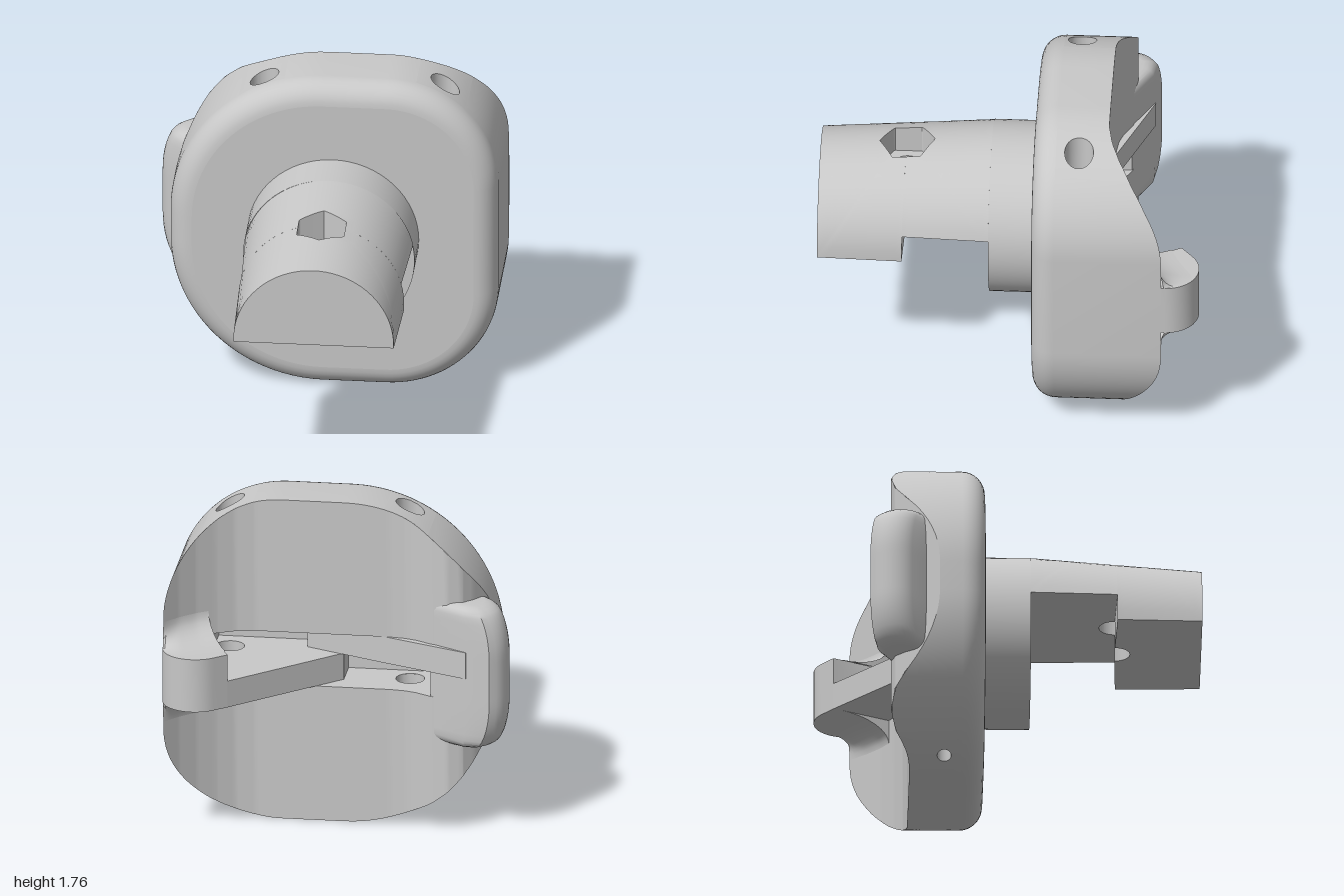
import * as THREE from 'three';
import { toCreasedNormals } from 'three/addons/utils/BufferGeometryUtils.js';

const V = (x, y, z) => new THREE.Vector3(x, y, z);
const lerp = THREE.MathUtils.lerp;
const clamp = THREE.MathUtils.clamp;
const MID = 0.88;                       // mid height of the body
const SLOT = [0.74, 1.03];              // slot floor and ceiling
const SLOT_X = [-0.7, 0.68], SLOT_D = 0.22;
const PINS = [[-0.34, 0.34], [0.6, 0.37]]; // pin holes: x, depth (-z)
const BORE = 0.075, SMALL_BORE = 0.037;

// depth of the back surface (-z) along x
const BACK = [[-0.82, 0.37], [-0.76, 0.46], [-0.7, 0.55], [-0.65, 0.6], [-0.57, 0.62], [-0.48, 0.595],
  [-0.4, 0.55], [-0.34, 0.53], [-0.26, 0.52], [0.45, 0.52], [0.55, 0.54], [0.64, 0.583], [0.74, 0.65],
  [0.82, 0.725], [0.89, 0.81]];
function depth(x) {
  for (let i = 1; i < BACK.length; i++) {
    const [a, p] = BACK[i - 1], [b, q] = BACK[i];
    if (x <= b) return lerp(p, q, Math.max(0, (x - a) / (b - a)));
  }
  return 0.81;
}

// half height of the body along x
function half(x) {
  if (x > 0.31) return 0.3 + Math.sqrt(Math.max(0, 0.58 ** 2 - (x - 0.31) ** 2));
  if (x < -0.02) return 0.08 + Math.sqrt(Math.max(0, 0.8 ** 2 - (x + 0.02) ** 2));
  return 0.88;
}

// front outline, counter-clockwise, moved inwards by inset
function outline(inset) {
  const pts = [];
  [[0.31, 0.58, 0.58], [0.31, 1.18, 0.58], [-0.02, 0.96, 0.8], [-0.02, 0.8, 0.8]].forEach(([x, y, r], k) => {
    for (let i = 0; i <= 24; i++) {
      const a = (k - 1 + i / 24) * Math.PI / 2;
      pts.push(new THREE.Vector2(x + (r - inset) * Math.cos(a), y + (r - inset) * Math.sin(a)));
    }
  });
  return pts;
}

function quadGeometry(quads, crease = 0.6) {
  const pos = [];
  for (const [a, b, c, d] of quads) for (const p of [a, b, c, a, c, d]) pos.push(p.x, p.y, p.z);
  const g = new THREE.BufferGeometry();
  g.setAttribute('position', new THREE.Float32BufferAttribute(pos, 3));
  return toCreasedNormals(g, crease);
}

// quads between successive rows of points
function loftQuads(rows, closed) {
  const quads = [];
  for (let j = 0; j + 1 < rows.length; j++) {
    const n = rows[j].length;
    for (let i = 0; i < (closed ? n : n - 1); i++) {
      const k = (i + 1) % n;
      quads.push([rows[j][i], rows[j][k], rows[j + 1][k], rows[j + 1][i]]);
    }
  }
  return quads;
}

function planShape(pts, holes = []) {
  const s = new THREE.Shape(pts.map(([x, d]) => new THREE.Vector2(x, d)));
  for (const [x, d] of holes) s.holes.push(new THREE.Path().absarc(x, d, BORE, 0, Math.PI * 2, true));
  return s;
}

// plan outline (x, depth) raised from y0 to y1
function slab(pts, y0, y1, holes, options = {}) {
  const g = new THREE.ExtrudeGeometry(planShape(pts, holes),
    { depth: y1 - y0, bevelEnabled: false, curveSegments: 16, ...options });
  return toCreasedNormals(g.rotateX(-Math.PI / 2).translate(0, y0, 0), 0.6);
}

// upper stem: one closed loft from the skin through the nut recess and back
function stemGeometry() {
  const R = z => lerp(0.447, 0.418, (z - 0.11) / 0.89);
  const cy = z => lerp(0.885, 0.845, (z - 0.11) / 0.89);
  const cols = [], cx = 0.04, cz = 0.55;
  const limit = (z, bot) => Math.acos((bot - cy(z)) / R(z));
  const edge = (n, f) => { for (let i = 0; i <= n; i++) cols.push(f(i / n)); };
  const side = (sgn, z0, z1, bot) => edge(12, t => {
    const z = lerp(z0, z1, t);
    return { phi: sgn * limit(z, bot), z, bot };
  });
  const end = (sgn, z, bot) => edge(40, t => ({ phi: sgn * lerp(-1, 1, t) * limit(z, bot), z, bot }));
  side(1, 0.56, 1, 0.83); end(-1, 1, 0.83); side(-1, 1, 0.56, 0.83);
  side(-1, 0.56, 0.11, 0.98); end(1, 0.11, 0.98); side(1, 0.11, 0.56, 0.98);
  const skin = (phi, z) => V(cx + R(z) * Math.sin(phi), cy(z) + R(z) * Math.cos(phi), z);
  const columns = cols.map(({ phi, z, bot }) => {
    const a = Math.atan2(z - cz, phi * R(z)), s = Math.PI / 3;
    const hex = 0.125 / Math.cos(a - Math.round(a / s) * s);
    const hz = cz + hex * Math.sin(a), hp = hex * Math.cos(a) / R(hz);
    const col = [];
    for (let k = 0; k <= 10; k++) col.push(skin(lerp(phi, hp, k / 10), lerp(z, hz, k / 10)));
    const rim = col[10], outer = col[0];
    const bore = y => V(cx + 0.08 * Math.cos(a), y, cz + 0.08 * Math.sin(a));
    col.push(V(rim.x, 1.13, rim.z), bore(1.13), bore(bot), V(outer.x, bot, outer.z), outer.clone());
    return col;
  });
  return quadGeometry(loftQuads(columns[0].map((_, j) => columns.map(c => c[j])), true), 0.5);
}

export function createModel() {
  const group = new THREE.Group();
  const grey = new THREE.MeshStandardMaterial({ color: 0xc8c8c8, side: THREE.DoubleSide });
  grey.name = 'grey';
  const add = (name, geometry) => {
    const m = new THREE.Mesh(geometry, grey);
    m.name = name;
    group.add(m);
    return m;
  };

  // body front face and rounded front edge
  add('bodyFront', new THREE.ShapeGeometry(new THREE.Shape(outline(0.12))).translate(0, 0, -0.13));
  const rows = [];
  for (let i = 0; i <= 8; i++) {
    const a = i / 8 * Math.PI / 2;
    rows.push(outline(0.12 * (1 - Math.sin(a))).map(p => V(p.x, p.y, -0.25 + 0.12 * Math.cos(a))));
  }
  const shell = loftQuads(rows, true);

  // side wall, with rings of faces around the pin holes
  const rim = outline(0);
  const nearPin = (p, [cx]) => Math.abs(p.x - cx) < 0.14;
  rim.forEach((p, i) => {
    const q = rim[(i + 1) % rim.length];
    if (PINS.some(h => nearPin(p, h) && nearPin(q, h))) return;
    shell.push([V(p.x, p.y, -0.25), V(q.x, q.y, -0.25), V(q.x, q.y, -depth(q.x)), V(p.x, p.y, -depth(p.x))]);
  });
  for (const pin of PINS) for (const sgn of [1, -1]) {
    const [cx, cd] = pin, r = sgn > 0 ? BORE : SMALL_BORE;
    const xs = rim.filter(p => nearPin(p, pin) && (p.y - MID) * sgn > 0).map(p => p.x).sort((a, b) => a - b);
    const x0 = xs[0], x1 = xs[xs.length - 1], steps = [1, 2, 3, 4, 5, 6, 7].map(k => k / 8);
    const border = [...xs.map(x => [x, 0.25]), ...steps.map(t => [x1, lerp(0.25, depth(x1), t)]),
      ...xs.reverse().map(x => [x, depth(x)]), ...steps.map(t => [x0, lerp(depth(x0), 0.25, t)])];
    const wall = (x, d) => V(x, MID + sgn * half(x), -d);
    const around = (rad, f) => border.map(([x, d]) => {
      const a = Math.atan2(d - cd, x - cx);
      return f(cx + rad * Math.cos(a), cd + rad * Math.sin(a), x, d);
    });
    const rings = [0, 1, 2, 3, 4].map(k => around(r, (hx, hd, x, d) => wall(lerp(x, hx, k / 4), lerp(d, hd, k / 4))));
    const patch = loftQuads(rings, true);
    shell.push(...(sgn > 0 ? patch : patch.map(q => q.reverse())));
    // bore behind the hole, down to the slot
    const ring = (rad, y) => around(rad, (x, d) => V(x, y, -d));
    add('pinBore', quadGeometry(loftQuads(sgn > 0
      ? [rings[4], ring(BORE, SLOT[1])]
      : [rings[4], ring(SMALL_BORE, 0.45), ring(BORE, 0.45), ring(BORE, SLOT[0])], true)));
  }
  add('bodyShell', quadGeometry(shell));

  // curved back, with the slot left open
  const xs = [...rim.map(p => p.x), ...BACK.map(b => b[0]), ...SLOT_X]
    .sort((a, b) => a - b).filter((x, i, all) => i === 0 || x - all[i - 1] > 1e-5);
  const back = [];
  for (let i = 0; i + 1 < xs.length; i++) {
    const [a, b] = [xs[i], xs[i + 1]];
    const open = a > SLOT_X[0] - 1e-4 && b < SLOT_X[1] + 1e-4;
    const strip = (lo, hi) => back.push([V(a, lo(a), -depth(a)), V(a, hi(a), -depth(a)),
      V(b, hi(b), -depth(b)), V(b, lo(b), -depth(b))]);
    const bottom = x => MID - half(x), top = x => MID + half(x);
    const low = x => Math.max(SLOT[0], bottom(x)), high = x => Math.min(SLOT[1], top(x));
    strip(bottom, low);
    if (!open) strip(low, high);
    strip(high, top);
  }
  add('bodyBack', quadGeometry(back));

  // slot floor, ceiling and walls
  const inside = xs.filter(x => x > SLOT_X[0] - 1e-4 && x < SLOT_X[1] + 1e-4);
  const plan = [...inside.map(x => [x, depth(x)]), [SLOT_X[1], SLOT_D], [SLOT_X[0], SLOT_D]];
  for (const y of SLOT) {
    const g = new THREE.ShapeGeometry(planShape(plan, PINS), 16);
    add('slotFace', g.rotateX(-Math.PI / 2).translate(0, y, 0));
  }
  const [sl, sr] = SLOT_X;
  const wallPath = [[sl, depth(sl)], [sl, SLOT_D], [sr, SLOT_D], [sr, depth(sr)]];
  add('slotWalls', quadGeometry(loftQuads(SLOT.map(y => wallPath.map(([x, d]) => V(x, y, -d))), false)));

  // ribs of the two arms, one above the other
  add('lowerRib', slab([[0.54, 0.9], [0, 0.4], [0, 0.22], [0.68, 0.22], [0.68, 0.62]],
    SLOT[0], 0.885, [PINS[1]]));
  add('upperRib', slab([[-0.68, 0.705], [-0.23, 0.52], [0.2, 0.33], [0.2, 0.22], [-0.7, 0.22], [-0.7, 0.6]],
    0.885, SLOT[1], [PINS[0]]));

  // left tab with its round end
  const tab = [[0.54, 0.9]];
  for (let i = 0; i <= 16; i++) {
    const a = lerp(2.32, 0, i / 16);
    tab.push([0.72 + 0.17 * Math.cos(a), 0.83 + 0.17 * Math.sin(a)]);
  }
  tab.push([0.89, 0.72], [0.68, 0.55], [0.68, 0.62]);
  add('leftTab', slab(tab, ...SLOT));

  // hollow fillets between the tab and the body
  for (const sgn of [1, -1]) {
    const fillet = [];
    for (let i = 0; i <= 16; i++) {
      const x = lerp(0.68, 0.89, i / 16), d = depth(x);
      const end = 0.83 + Math.sqrt(Math.max(0, 0.17 ** 2 - (x - 0.72) ** 2));
      const rise = Math.min(0.24, end - d);
      fillet.push(Array.from({ length: 9 }, (_, k) => {
        const a = k / 8 * Math.PI / 2, out = rise * (1 - Math.cos(a));
        return V(x - out * 0.5 * (1 - i / 16), 0.885 + sgn * (0.145 + 0.13 * (1 - Math.sin(a))), -(d + out));
      }));
    }
    const foot = fillet[0].map(p => V(p.x, 0.885 + sgn * 0.145, p.z));
    add('tabFillet', quadGeometry(loftQuads([foot, ...fillet], false)));
  }

  // right tab: tall rounded paddle, its outer edge drawn back towards both ends
  const paddle = [[-0.53, 0.56], [-0.7, 0.655]];
  for (let i = 0; i <= 10; i++) {
    const a = lerp(2, 3.9, i / 10);
    paddle.push([-0.765 + 0.08 * Math.cos(a), 0.605 + 0.08 * Math.sin(a)]);
  }
  paddle.push([-0.72, 0.46], [-0.53, 0.46]);
  const g = slab(paddle, 0.54, 1.22, [],
    { steps: 20, bevelEnabled: true, bevelSize: 0.05, bevelThickness: 0.05, bevelSegments: 4 });
  const p = g.attributes.position;
  for (let i = 0; i < p.count; i++) {
    const t = clamp((Math.abs(p.getY(i) - MID) - 0.12) / 0.29, 0, 1);
    const s = 0.13 * (1 - Math.sqrt(1 - t * t)) * clamp((-0.62 - p.getX(i)) / 0.2, 0, 1);
    p.setXYZ(i, p.getX(i) + s, p.getY(i), p.getZ(i) + s * 0.5);
  }
  add('rightTab', toCreasedNormals(g, 0.6));

  // stem
  const base = add('stemBase', new THREE.CylinderGeometry(0.447, 0.447, 0.25, 64));
  base.rotation.x = Math.PI / 2;
  base.position.set(0.037, 0.885, -0.015);
  add('stem', stemGeometry());
  return group;
}
